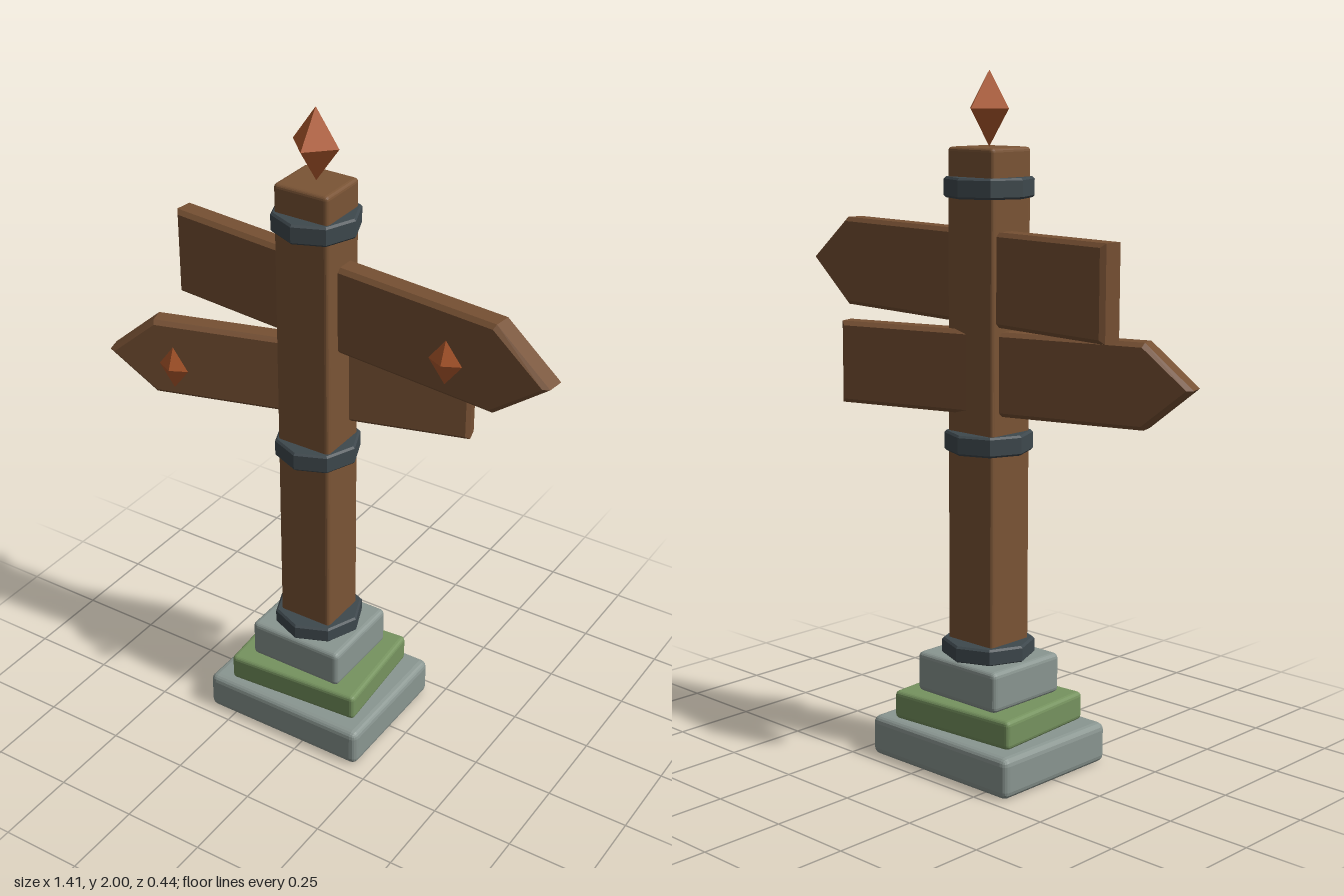
import * as THREE from 'three';
import { RoundedBoxGeometry } from 'three/addons/geometries/RoundedBoxGeometry.js';

const CX = -0.07; // x of the post axis
const mat = (color) => new THREE.MeshStandardMaterial({ color, flatShading: true });

export function createModel() {
  const group = new THREE.Group();
  const wood = mat(0x7a5435), plank = mat(0x765033), stone = mat(0x8a9691);
  const moss = mat(0x76935f), iron = mat(0x3e484d), copper = mat(0xb35a2d);

  const add = (name, geometry, material, x, y, z, turn = 0) => {
    const mesh = new THREE.Mesh(geometry, material);
    mesh.name = name;
    mesh.position.set(x, y, z);
    mesh.rotation.y = turn;
    group.add(mesh);
    return mesh;
  };

  // Block resting between two heights
  const block = (name, material, w, d, y0, y1, bevel, turn) =>
    add(name, new RoundedBoxGeometry(w, y1 - y0, d, 2, bevel), material, CX, (y0 + y1) / 2, 0, turn);

  // Stepped footing, with a slightly turned mossy layer
  block('baseStone', stone, 0.54, 0.435, 0, 0.12, 0.022);
  block('mossLayer', moss, 0.43, 0.35, 0.12, 0.205, 0.014, 0.07);
  block('topStone', stone, 0.31, 0.28, 0.205, 0.325, 0.016);

  // Square post
  block('post', wood, 0.175, 0.16, 0.32, 1.79, 0.012);

  // Eight-sided iron bands with chamfered rims
  const band = (name, r, y0, y1) => {
    const h = (y1 - y0) / 2, c = 0.006;
    const profile = [[0, -h], [r - c, -h], [r, c - h], [r, h - c], [r - c, h], [0, h]]
      .map(([x, y]) => new THREE.Vector2(x, y));
    add(name, new THREE.LatheGeometry(profile, 8), iron, CX, (y0 + y1) / 2, 0);
  };
  band('footBand', 0.135, 0.322, 0.372);
  band('middleBand', 0.127, 0.93, 0.988);
  band('upperBand', 0.127, 1.65, 1.708);

  // Eight-faced gems
  const gem = (name, x, y, z, sx, sy, sz) =>
    add(name, new THREE.OctahedronGeometry(1).scale(sx, sy, sz), copper, x, y, z);
  gem('finial', CX, 1.895, 0, 0.074, 0.105, 0.074);
  gem('rightArrowGem', 0.405, 1.43, 0.112, 0.051, 0.066, 0.025);
  gem('leftArrowGem', -0.47, 1.16, 0.15, 0.051, 0.066, 0.025);

  // Arrow board: dir is the side the tip points to, lengths run from the post axis
  const board = (name, dir, tail, shoulder, tip, height, thick, y, z, turn) => {
    const h = height / 2, bevel = 0.012;
    const points = [[-tail, -h], [shoulder, -h], [tip, 0], [shoulder, h], [-tail, h]]
      .map(([px, py]) => new THREE.Vector2(px * dir, py));
    const geometry = new THREE.ExtrudeGeometry(new THREE.Shape(points), {
      depth: thick - 2 * bevel, bevelEnabled: true, bevelSegments: 1,
      bevelSize: bevel, bevelThickness: bevel, bevelOffset: -bevel,
    });
    geometry.translate(0, 0, bevel - thick / 2);
    add(name, geometry, plank, CX, y, z, turn);
  };
  board('rightArrowBoard', 1, 0.51, 0.605, 0.777, 0.265, 0.075, 1.428, -0.017, -0.101);
  board('leftArrowBoard', -1, 0.436, 0.512, 0.654, 0.24, 0.07, 1.162, -0.04, 0.283);

  return group;
}
